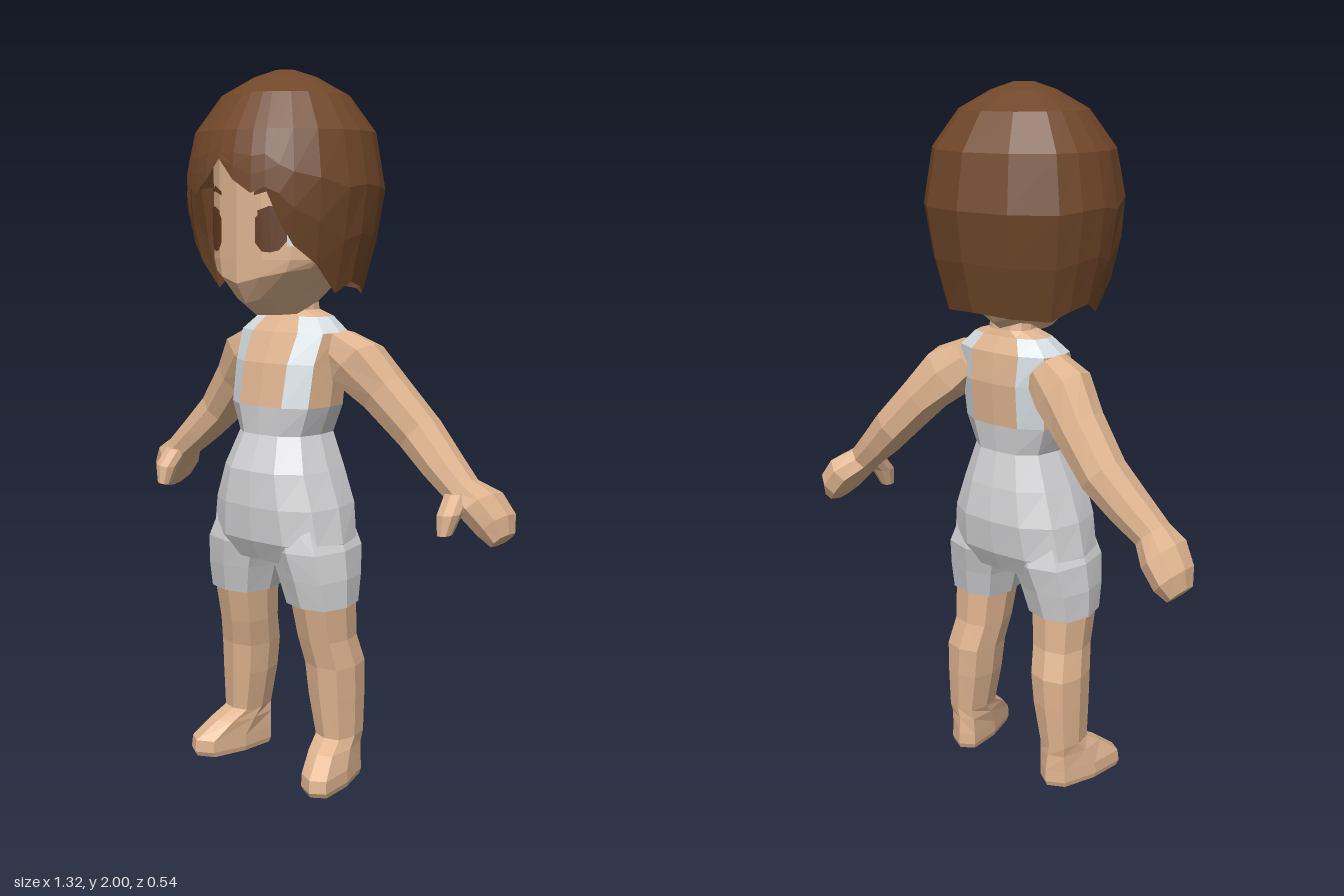
import * as THREE from 'three';

const mat = (name, color, side = THREE.FrontSide) => {
  const m = new THREE.MeshStandardMaterial({ color, side });
  m.name = name;
  return m;
};

// Flat-shaded mesh from triangle lists, one list of points per material
function facetMesh(name, lists, mats) {
  const g = new THREE.BufferGeometry();
  const pts = [];
  lists.forEach((list, k) => {
    if (list.length) g.addGroup(pts.length, list.length, k);
    pts.push(...list);
  });
  g.setFromPoints(pts);
  g.computeVertexNormals();
  const mesh = new THREE.Mesh(g, mats.length > 1 ? mats : mats[0]);
  mesh.name = name;
  return mesh;
}

// Skin closed rings together; pick(row, segment) chooses the material
function loft(name, rings, mats, { pick = () => 0, capStart = true, capEnd = true } = {}) {
  const n = rings[0].length;
  const lists = mats.map(() => []);
  for (let i = 0; i < rings.length - 1; i++) {
    for (let j = 0; j < n; j++) {
      const k = (j + 1) % n;
      const a = rings[i][j], b = rings[i][k], c = rings[i + 1][k], d = rings[i + 1][j];
      lists[pick(i, j)].push(a, b, c, a, c, d);
    }
  }
  const cap = (ring, row, reverse) => {
    const mid = ring.reduce((s, p) => s.add(p), new THREE.Vector3()).divideScalar(n);
    for (let j = 0; j < n; j++) {
      const a = ring[j], b = ring[(j + 1) % n];
      lists[pick(row, j)].push(mid, ...(reverse ? [b, a] : [a, b]));
    }
  };
  if (capStart) cap(rings[0], 0, true);
  if (capEnd) cap(rings[rings.length - 1], rings.length - 2, false);
  // Turn faces outward whichever way the rings run
  let volume = 0;
  const cross = new THREE.Vector3();
  for (const l of lists)
    for (let i = 0; i < l.length; i += 3) volume += l[i].dot(cross.crossVectors(l[i + 1], l[i + 2]));
  if (volume < 0)
    for (const l of lists)
      for (let i = 0; i < l.length; i += 3) [l[i + 1], l[i + 2]] = [l[i + 2], l[i + 1]];
  return facetMesh(name, lists, mats);
}

// Unit cross-sections, starting at the front
const circle = n => Array.from({ length: n }, (_, i) => [Math.sin(i * 2 * Math.PI / n), Math.cos(i * 2 * Math.PI / n)]);
const half = [[0, 1], [0.5, 0.95], [0.9, 0.62], [1, 0], [0.9, -0.62], [0.5, -0.95], [0, -1]];
const bodySection = [...half, ...half.slice(1, 6).reverse().map(([x, z]) => [-x, z])];
const limbSection = [[0, 1], [0.78, 0.8], [1, 0], [0.78, -0.8], [0, -1], [-0.78, -0.8], [-1, 0], [-0.78, 0.8]];

// Horizontal ring; shear pushes the toe outward, lift raises the sides
const flatRing = (section, s, [y, x0, x1, zf, zb, shear = 0, lift = 0]) => section.map(([u, v]) => {
  const z = (zf + zb) / 2 + v * (zf - zb) / 2;
  return new THREE.Vector3(s * ((x0 + x1) / 2 + u * (x1 - x0) / 2 + shear * z), y + lift * Math.abs(u), z);
});

// Ring square to a limb that slopes down in the xy plane
const limbRing = (s, nx, ny) => ([x, y, z, h, d]) => limbSection.map(([u, v]) =>
  new THREE.Vector3(s * (x + u * h * nx), y + u * h * ny, z + v * d));

// Thin patch wrapped round the face; columns are [x, low, high]
const FACE_R = 0.2;
function facePatch(name, s, cols, material, out = 0.004) {
  const c = cols.map(([x, lo, hi]) => [s * x, lo, hi]).sort((a, b) => a[0] - b[0]);
  const p = (x, y) => new THREE.Vector3(x, y, Math.sqrt(FACE_R ** 2 - x * x) + out);
  const list = [];
  for (let i = 0; i < c.length - 1; i++) {
    const [x, lo, hi] = c[i], [X, Lo, Hi] = c[i + 1];
    list.push(p(x, lo), p(X, Lo), p(X, Hi), p(x, lo), p(X, Hi), p(x, hi));
  }
  return facetMesh(name, [list], [material]);
}

// Piecewise-linear lookup in ascending [key, value] pairs
function lookup(table, t) {
  let i = 1;
  while (i < table.length - 1 && t > table[i][0]) i++;
  const [a, b] = [table[i - 1], table[i]];
  return a[1] + (b[1] - a[1]) * (t - a[0]) / (b[0] - a[0]);
}

function makeHair(hair) {
  const radius = [[1.38, 0.215], [1.5, 0.25], [1.65, 0.283], [1.75, 0.277], [1.83, 0.255], [1.93, 0.18], [1.98, 0.09], [2, 0.03]];
  // Hem height by angle from the front, in degrees
  const hem = [[0, 1.755], [10, 1.7], [21, 1.665], [29, 1.68], [37, 1.59], [45, 1.53], [60, 1.48], [78, 1.4],
    [92, 1.43], [108, 1.415], [122, 1.39], [150, 1.4], [180, 1.41]];
  const columns = [...hem, ...hem.slice(1, -1).reverse().map(([a, y]) => [-a, y])];
  const ringAt = height => columns.map(([deg, edge]) => {
    const y = height(edge), r = lookup(radius, y), a = deg * Math.PI / 180;
    return new THREE.Vector3(Math.sin(a) * r, y, Math.cos(a) * r * 0.965);
  });
  const rings = [
    ...[0, 0.35, 0.7].map(t => ringAt(edge => edge + (1.8 - edge) * t)),
    ...[1.83, 1.93, 1.98, 2].map(y => ringAt(() => y)),
  ];
  return loft('hair', rings, [hair], { capStart: false });
}

export function createModel() {
  const skin = mat('skin', 0xe0b590);
  const cloth = mat('overalls cloth', 0xd4d4d6);
  const strap = mat('strap cloth', 0xd6dee3);
  const hair = mat('hair', 0x714729, THREE.DoubleSide);
  const eye = mat('eye brown', 0x633a20);
  const white = mat('eye white', 0xd5dde4);

  const model = new THREE.Group();
  model.name = 'child';

  // Torso: overalls below, straps and bare skin above
  const torso = [
    [0.64, 0.205, 0.115, -0.105], [0.7, 0.218, 0.145, -0.135], [0.8, 0.2, 0.155, -0.15],
    [0.9, 0.165, 0.15, -0.14], [1.0, 0.127, 0.112, -0.12], [1.08, 0.158, 0.115, -0.13],
    [1.2, 0.162, 0.092, -0.14], [1.285, 0.168, 0.05, -0.13], [1.328, 0.12, 0.015, -0.105],
    [1.345, 0.065, 0.005, -0.1], [1.44, 0.052, 0.01, -0.09],
  ].map(([y, w, f, b]) => flatRing(bodySection, 1, [y, -w, w, f, b]));
  const torsoPick = (row, seg) => {
    if (row < 5) return 0;
    if (row > 7) return 1;
    if ([1, 4, 7, 10].includes(seg)) return 2;
    return row === 7 && [2, 3, 8, 9].includes(seg) ? 2 : 1;
  };
  model.add(loft('torso', torso, [cloth, skin, strap], { pick: torsoPick }));

  // Head and face
  const head = [
    [1.335, 0.05, 0.11, -0.08, 0], [1.37, 0.11, 0.165, -0.13, 0.03], [1.425, 0.18, 0.2, -0.17, 0.045],
    [1.49, 0.2, 0.2, -0.2, 0], [1.66, 0.2, 0.2, -0.2, 0], [1.78, 0.2, 0.2, -0.2, 0], [1.9, 0.12, 0.12, -0.12, 0],
  ].map(([y, w, f, b, lift]) => flatRing(circle(16), 1, [y, -w, w, f, b, 0, lift]));
  model.add(loft('head', head, [skin]));
  model.add(makeHair(hair));

  for (const s of [1, -1]) {
    const side = s > 0 ? 'left' : 'right';

    // Eye, lash and brow
    model.add(
      facePatch(side + 'Iris', s, [[0.062, 1.535, 1.6], [0.08, 1.512, 1.62], [0.1, 1.51, 1.624], [0.12, 1.515, 1.624], [0.137, 1.54, 1.62]], eye),
      facePatch(side + 'EyeWhite', s, [[0.137, 1.525, 1.607], [0.15, 1.525, 1.602], [0.166, 1.535, 1.59]], white),
      facePatch(side + 'Lash', s, [[0.07, 1.605, 1.62], [0.1, 1.615, 1.632], [0.13, 1.612, 1.63], [0.16, 1.59, 1.606]], eye, 0.006),
      facePatch(side + 'Brow', s, [[0.06, 1.66, 1.67], [0.1, 1.672, 1.688], [0.135, 1.67, 1.678]], eye),
    );

    // Shorts leg
    const shorts = [
      [0.78, 0.02, 0.18, 0.12, -0.11], [0.68, 0.01, 0.226, 0.135, -0.125], [0.6, 0.036, 0.236, 0.12, -0.105],
      [0.52, 0.057, 0.236, 0.102, -0.087],
    ].map(r => flatRing(limbSection, s, r));
    model.add(loft(side + 'ShortsLeg', shorts, [cloth]));

    // Bare leg running down into the foot
    const leg = [
      [0.54, 0.066, 0.23, 0.094, -0.08], [0.42, 0.078, 0.226, 0.07, -0.086], [0.34, 0.09, 0.238, 0.052, -0.11],
      [0.25, 0.1, 0.238, 0.046, -0.108], [0.13, 0.124, 0.236, 0.037, -0.1], [0.1, 0.13, 0.242, 0.09, -0.1, 0.12],
      [0.05, 0.134, 0.25, 0.153, -0.105, 0.2], [0.015, 0.134, 0.252, 0.157, -0.106, 0.2], [0, 0.138, 0.248, 0.148, -0.1, 0.2],
    ].map(r => flatRing(limbSection, s, r));
    model.add(loft(side + 'Leg', leg, [skin]));

    // Arm and mitten hand
    const arm = [
      [0.13, 1.25, -0.06, 0.06, 0.06], [0.2, 1.2, -0.075, 0.082, 0.075], [0.28, 1.12, -0.105, 0.064, 0.07],
      [0.38, 1.015, -0.13, 0.057, 0.065], [0.46, 0.94, -0.122, 0.05, 0.06], [0.53, 0.88, -0.115, 0.043, 0.052],
      [0.58, 0.842, -0.135, 0.05, 0.076], [0.622, 0.79, -0.148, 0.046, 0.066], [0.642, 0.752, -0.148, 0.027, 0.045],
    ].map(limbRing(s, 0.707, 0.707));
    model.add(loft(side + 'Arm', arm, [skin]));

    // Thumb
    const thumb = [
      [0.535, 0.875, -0.09, 0.032, 0.035], [0.54, 0.825, -0.045, 0.032, 0.032], [0.537, 0.77, -0.028, 0.018, 0.02],
    ].map(limbRing(s, 1, 0.1));
    model.add(loft(side + 'Thumb', thumb, [skin]));
  }
  return model;
}
